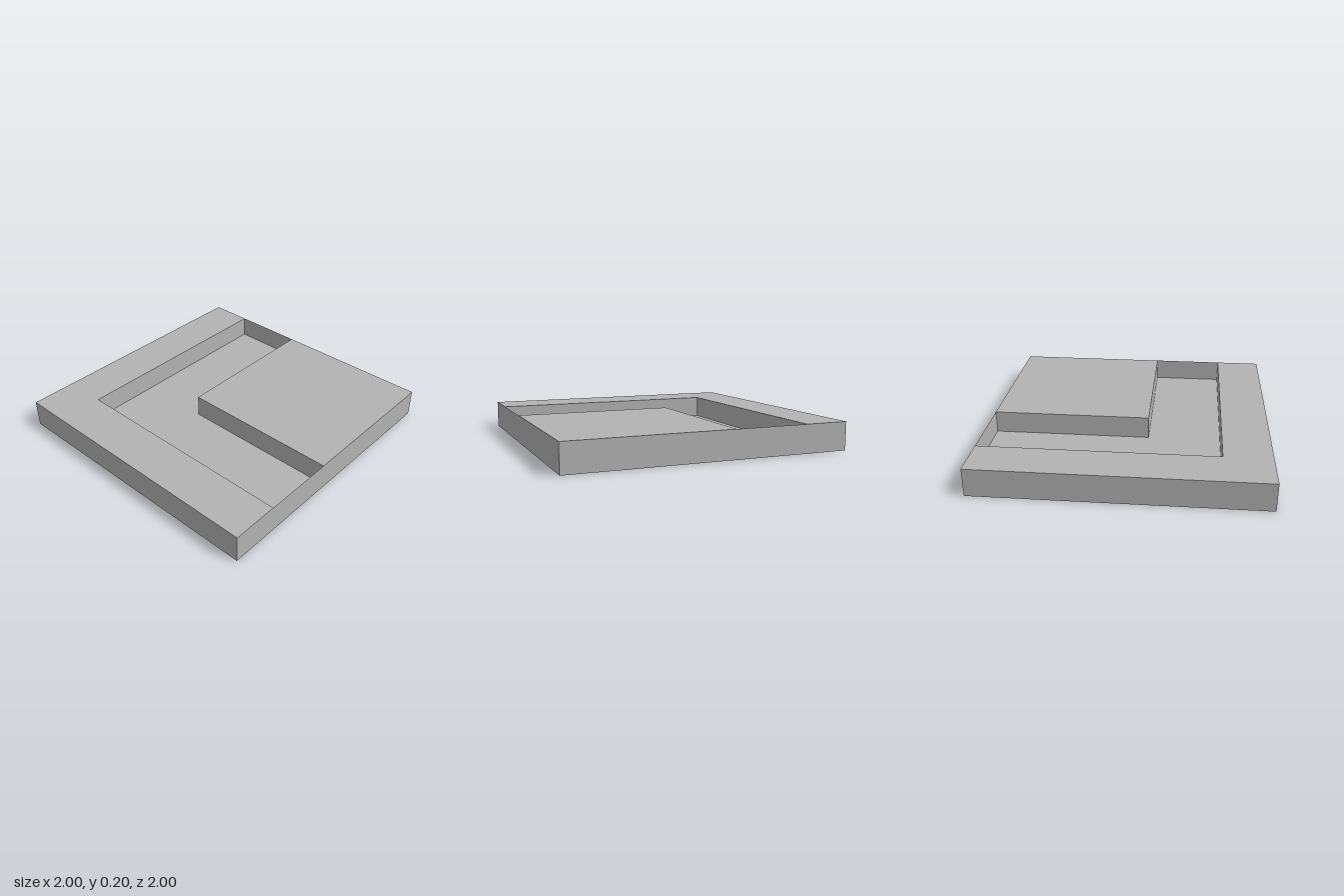
import * as THREE from 'three';

const H = 0.2, FLOOR = 0.04;            // slab height, channel floor height
const OUT = [-0.665, -0.685];           // outer channel corner (x, z)
const INN = [-0.14, -0.155];            // inner channel corner (x, z)

export function createModel() {
  const group = new THREE.Group();
  const grey = new THREE.MeshStandardMaterial({ color: 0xb3b3b3, side: THREE.DoubleSide });
  grey.name = 'plain grey';

  const add = (name, geometry) => {
    const mesh = new THREE.Mesh(geometry, grey);
    mesh.name = name;
    group.add(mesh);
    return mesh;
  };

  // Horizontal face from (x, z) points at height y, facing up
  const flat = (name, points, y) => {
    const shape = new THREE.Shape(points.map(([x, z]) => new THREE.Vector2(x, -z)));
    add(name, new THREE.ShapeGeometry(shape).rotateX(-Math.PI / 2).translate(0, y, 0));
  };

  // Upright face from a to b, facing right of the a-to-b direction as seen from above
  const wall = (name, [ax, az], [bx, bz], y0, y1) => {
    const plane = new THREE.PlaneGeometry(Math.hypot(bx - ax, bz - az), y1 - y0);
    plane.rotateY(Math.atan2(az - bz, bx - ax));
    plane.translate((ax + bx) / 2, (y0 + y1) / 2, (az + bz) / 2);
    add(name, plane);
  };

  // L-shaped band between two corners that runs to the front and left edges
  const band = ([ax, az], [bx, bz]) =>
    [[ax, 1], [bx, 1], [bx, bz], [1, bz], [1, az], [ax, az]];

  // Top faces and sunken channel floor
  flat('rimTop', band([-1, -1], OUT), H);
  flat('channelFloor', band(OUT, INN), FLOOR);
  flat('blockTop', [[INN[0], 1], [1, 1], [1, INN[1]], INN], H);

  // Underside
  add('underside', new THREE.PlaneGeometry(2, 2).rotateX(Math.PI / 2));

  // Outer sides, which also close the channel ends
  const corners = [[-1, 1], [1, 1], [1, -1], [-1, -1]];
  ['frontSide', 'leftSide', 'backSide', 'rightSide'].forEach((name, i) =>
    wall(name, corners[i], corners[(i + 1) % 4], 0, H));

  // Channel walls
  wall('rimWallAcross', OUT, [1, OUT[1]], FLOOR, H);
  wall('rimWallAlong', [OUT[0], 1], OUT, FLOOR, H);
  wall('blockWallAcross', [1, INN[1]], INN, FLOOR, H);
  wall('blockWallAlong', INN, [INN[0], 1], FLOOR, H);

  return group;
}
